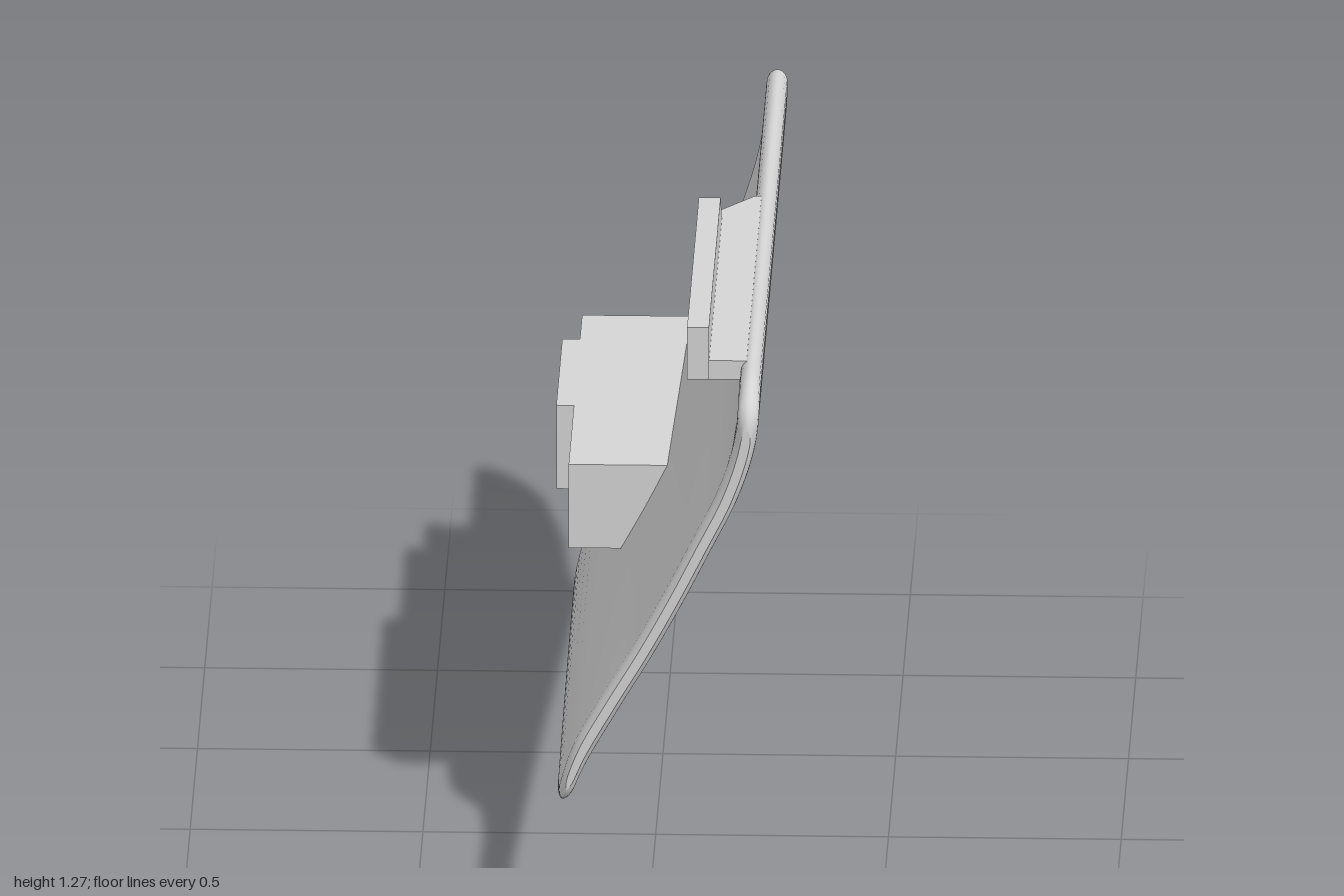
import * as THREE from 'three';

// Centre line of the plate, evenly spaced from bottom to top (x only matters)
const centreX = [-0.2, -0.161, -0.094, -0.021, 0.046, 0.108, 0.168, 0.206, 0.215];
const spline = new THREE.SplineCurve(centreX.map((x, i) => new THREE.Vector2(x, i / 8)));

const HALF = 0.023, TOP = 1.2, N = 36;
const arc = (u) => Math.sqrt(Math.max(0, 1 - u * u));

// Closed cross-section at depth z: outer side upwards, then inner side downwards
function section(z) {
  const base = 0.129 + 0.116 * z - 0.013 * z * z;
  const lo = base + 0.001 + 0.055 * (1 - arc(Math.max(0, (z - 0.8) / 0.2)));
  const hi = TOP - 0.09 * (1 - arc(Math.max(0, (z - 0.86) / 0.14)));
  const rim = Math.max(0.45, arc(Math.max(0, (z - 0.965) / 0.035)));
  const height = TOP - base;
  // the lower part leans slightly outwards towards the front
  const xAt = (s) => spline.getPoint(THREE.MathUtils.clamp(s, 0, 1)).x + 0.012 * z * (1 - s);
  const outer = [], inner = [];
  for (let k = 0; k <= N; k++) {
    const y = lo + (hi - lo) * (1 - Math.cos((Math.PI * k) / N)) / 2;
    const s = (y - base) / height;
    const a = Math.max(0, s - 0.01), b = Math.min(1, s + 0.01);
    const normal = new THREE.Vector2((b - a) * height, xAt(a) - xAt(b)).normalize();
    // rounded top and bottom edges, thinner towards the bottom
    const edge = Math.min(arc(1 - Math.min(1, (y - lo) / 0.03)), arc(1 - Math.min(1, (hi - y) / 0.03)));
    const taper = 0.62 + 0.38 * THREE.MathUtils.smoothstep(s, 0, 0.2);
    const h = HALF * rim * taper * Math.max(0.12, edge);
    const ny = normal.y * h * edge;
    outer.push([xAt(s) + normal.x * h, y + ny, z]);
    inner.unshift([xAt(s) - normal.x * h, y - ny, z]);
  }
  return outer.concat(inner);
}

// Skin through the cross-sections, with separate end caps for sharp ends
function plateGeometry() {
  const depths = [];
  for (let i = 0; i <= 14; i++) depths.push(-1 + (1.78 * i) / 14);
  for (let i = 1; i <= 14; i++) depths.push(0.78 + 0.22 * Math.sin((Math.PI / 2) * (i / 14)));
  const rows = depths.map(section);
  const M = rows[0].length;
  const points = rows.flat();
  const index = [];
  for (let i = 0; i < rows.length - 1; i++) {
    for (let j = 0; j < M; j++) {
      const a = i * M + j, b = i * M + ((j + 1) % M);
      index.push(a, b, b + M, a, b + M, a + M);
    }
  }
  const cap = (row, front) => {
    const o = points.length;
    points.push(...row);
    for (let k = 0; k < N; k++) {
      const a = o + k, b = a + 1, c = o + M - 2 - k, d = c + 1;
      if (front) index.push(a, b, c, a, c, d);
      else index.push(a, c, b, a, d, c);
    }
  };
  cap(rows[0], false);
  cap(rows[rows.length - 1], true);
  const g = new THREE.BufferGeometry();
  g.setAttribute('position', new THREE.Float32BufferAttribute(points.flat(), 3));
  g.setIndex(index);
  g.computeVertexNormals();
  return g;
}

function prism(corners, depth) {
  const shape = new THREE.Shape(corners.map(([x, y]) => new THREE.Vector2(x, y)));
  return new THREE.ExtrudeGeometry(shape, { depth, bevelEnabled: false });
}

export function createModel() {
  const model = new THREE.Group();
  model.name = 'curvedPanel';
  const grey = new THREE.MeshStandardMaterial({ color: 0xd4d4d4 });
  grey.name = 'grey';
  const add = (name, geometry) => {
    const mesh = new THREE.Mesh(geometry, grey);
    mesh.name = name;
    model.add(mesh);
    return mesh;
  };

  add('panel', plateGeometry());

  // Mounting block on the inner face, with a raised pad
  add('mountingBlock', prism([[-0.205, 0.442], [-0.055, 0.442], [0.035, 0.633], [-0.205, 0.633]], 0.925))
    .position.z = -1;
  const pad = add('mountingPad', new THREE.BoxGeometry(0.05, 0.191, 0.41));
  pad.position.set(-0.218, 0.5375, -0.645);

  // Ledge along the top edge, tapering into the panel at the back
  const ledge = add('topLedge', prism([[0.077, 0.8], [0.077, -0.08], [0.19, -0.22], [0.205, -0.22], [0.205, 0.8]], 0.043));
  ledge.rotation.x = Math.PI / 2;
  ledge.position.y = 1.198;

  // Upright lip on the ledge, chamfered at its back end
  const lip = add('topLip', prism([[0.805, 1.156], [0.805, 1.275], [0, 1.275], [-0.08, 1.198], [-0.08, 1.156]], 0.047));
  lip.rotation.y = -Math.PI / 2;
  lip.position.x = 0.124;

  return model;
}
